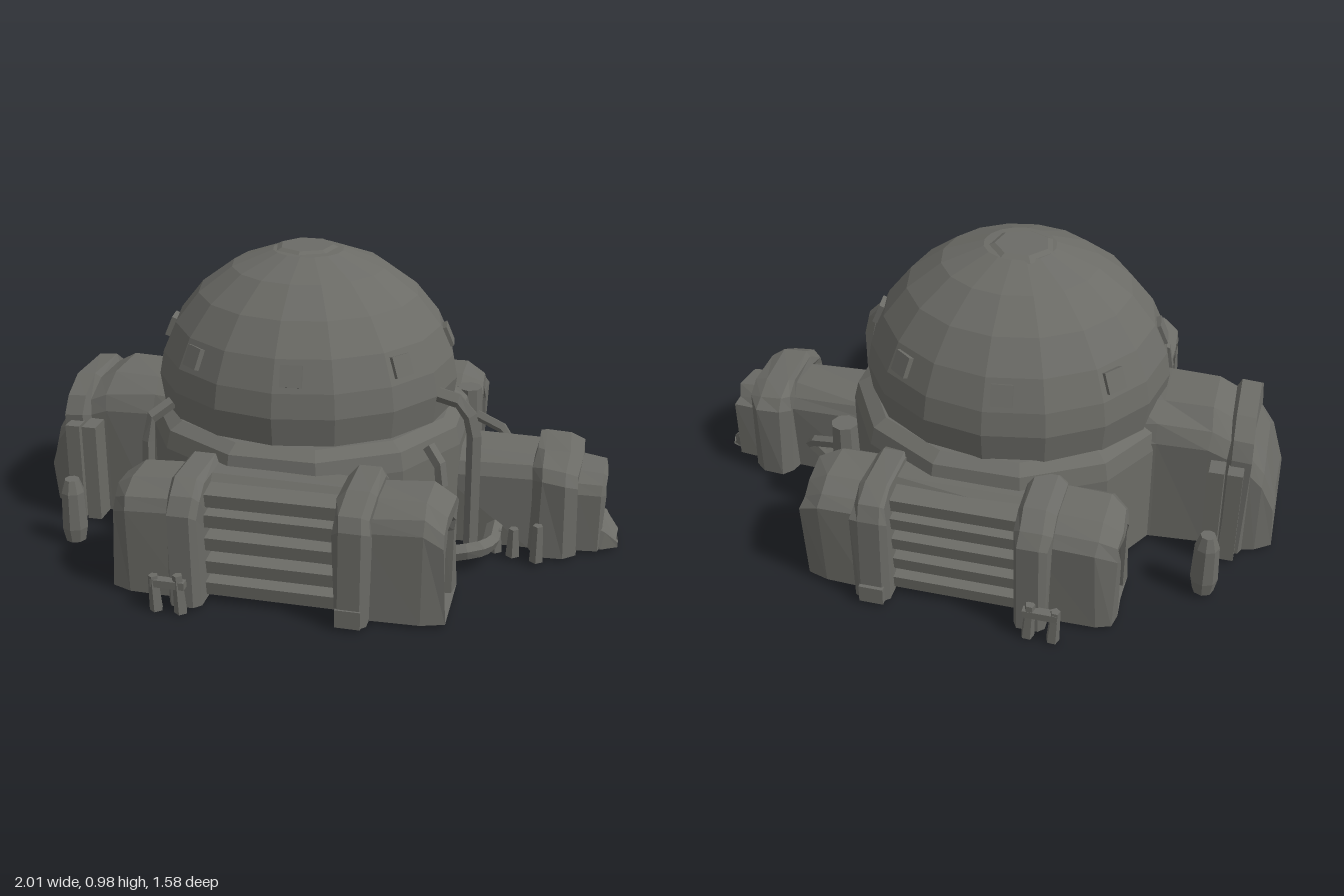
import * as THREE from 'three';

const stone = new THREE.MeshStandardMaterial({ color: 0x6b6b66 });
stone.name = 'weathered grey';
stone.flatShading = true;

// Arched cross-section (z, y), from one foot over the top to the other
const ARCH = [[-1, 0], [-1, 0.78], [-0.86, 0.9], [-0.5, 1], [0.5, 1], [0.86, 0.9], [1, 0.78], [1, 0]];

// Small repeatable wobble that roughens a surface
const wobble = (x, y, z) => 0.006 * Math.sin(x * 91 + y * 57 + z * 73);

// Loft arches along x. Each section is [x, halfWidth, height]
function arches(sections, zMid) {
  const pos = [], index = [], n = ARCH.length;
  for (const [x, w, h] of sections) {
    for (const [u, v] of ARCH) {
      const y = 0.01 + v * (h - 0.01), z = zMid + u * w, d = wobble(x, y, z);
      pos.push(x + d, v ? y + d : y, z - d);
    }
  }
  for (let i = 0; i < sections.length - 1; i++) {
    for (let j = 0; j < n; j++) {
      const a = i * n + j, b = i * n + (j + 1) % n;
      index.push(a, b, b + n, a, b + n, a + n);
    }
  }
  const e = (sections.length - 1) * n;
  for (let j = 1; j < n - 1; j++) index.push(0, j + 1, j, e, e + j, e + j + 1);
  const g = new THREE.BufferGeometry();
  g.setAttribute('position', new THREE.Float32BufferAttribute(pos, 3));
  g.setIndex(index);
  const flat = g.toNonIndexed();
  flat.computeVertexNormals();
  return flat;
}

export function createModel() {
  const model = new THREE.Group();
  model.name = 'domedBuilding';

  const add = (name, geometry, x = 0, y = 0, z = 0, parent = model) => {
    const mesh = new THREE.Mesh(geometry, stone);
    mesh.name = name;
    mesh.position.set(x, y, z);
    parent.add(mesh);
    return mesh;
  };
  const box = (name, x0, x1, y0, y1, z0, z1, parent) =>
    add(name, new THREE.BoxGeometry(x1 - x0, y1 - y0, z1 - z0),
      (x0 + x1) / 2, (y0 + y1) / 2, (z0 + z1) / 2, parent);
  const pipe = (name, points, radius) => {
    const path = new THREE.CurvePath();
    const p = points.map((q) => new THREE.Vector3(...q));
    for (let i = 0; i < p.length - 1; i++) path.add(new THREE.LineCurve3(p[i], p[i + 1]));
    return add(name, new THREE.TubeGeometry(path, (p.length - 1) * 3, radius, 5), 0, 0, 0);
  };

  // Twelve-sided drum with a sloping shoulder
  const drum = [[0, 0.01], [0.56, 0.01], [0.56, 0.37], [0.545, 0.43], [0.5, 0.455], [0, 0.455]]
    .map(([r, y]) => new THREE.Vector2(r, y));
  add('drum', new THREE.LatheGeometry(drum, 12), -0.08, 0, -0.015).rotation.y = Math.PI / 12;

  // Faceted dome with a flattened crown
  const dome = [[0.5, 0.44], [0.515, 0.55], [0.5, 0.63], [0.455, 0.73], [0.375, 0.83],
    [0.26, 0.915], [0.12, 0.968], [0, 0.972]].map(([r, y]) => new THREE.Vector2(r, y));
  add('dome', new THREE.LatheGeometry(dome, 16), -0.09, 0, -0.02).scale.z = 0.965;
  add('crown', new THREE.CylinderGeometry(0.09, 0.12, 0.014, 7), -0.1, 0.97, -0.03);

  // Small hatches around the dome
  for (let k = 0; k < 8; k++) {
    const a = (k + 0.15) * Math.PI / 4;
    const hatch = add('domeHatch', new THREE.BoxGeometry(0.07, 0.07, 0.03),
      -0.09 + Math.sin(a) * 0.47, 0.68, -0.02 + Math.cos(a) * 0.453);
    hatch.rotation.set(-0.4, a, 0, 'YXZ');
  }

  // Long front and back wings: end chambers, collars and a slatted middle
  for (const side of [1, -1]) {
    const wing = new THREE.Group();
    wing.name = side > 0 ? 'frontWing' : 'backWing';
    model.add(wing);
    const end = side > 0 ? 0.5 : 0.46, c = side > 0 ? 0.17 : 0.16, z = side * 0.555;
    add('leftChamber', arches([[c + 0.08, 0.145, 0.39], [end - 0.07, 0.145, 0.39], [end, 0.125, 0.35],
      [end, 0.075, 0.3], [end - 0.03, 0.07, 0.29]], z), 0, 0, 0, wing);
    add('rightChamber', arches([[-0.53, 0.07, 0.29], [-0.56, 0.075, 0.3], [-0.56, 0.115, 0.34],
      [-0.5, 0.145, 0.38], [-0.3, 0.145, 0.39]], z), 0, 0, 0, wing);
    for (const x of [-0.36, c]) {
      add('collar', arches([[x, 0.16, 0.4], [x + 0.02, 0.18, 0.42], [x + 0.09, 0.18, 0.42],
        [x + 0.11, 0.16, 0.4]], side * 0.575), 0, 0, 0, wing);
    }
    add('wingCore', arches([[-0.27, 0.1, 0.39], [c + 0.02, 0.1, 0.39]], side * 0.53), 0, 0, 0, wing);
    for (const [y, r] of [[0.05, 0.69], [0.12, 0.68], [0.2, 0.68], [0.28, 0.68], [0.345, 0.67]]) {
      const slat = box('slat', -0.27, c + 0.02, y - 0.02, y + 0.025, r - 0.1, r, wing);
      slat.position.z *= side;
      slat.rotation.x = side * 0.12;
    }
    // Thin stakes at the foot of the right collar
    for (const [x, h] of [[-0.39, 0.12], [-0.31, 0.13]]) {
      const stake = add('stake', new THREE.CylinderGeometry(0.016, 0.022, h, 5), x, h / 2, side * 0.77);
      stake.rotation.z = 0.06;
    }
    box('stakeRail', -0.4, -0.29, 0.085, 0.11, side * 0.77 - 0.015, side * 0.77 + 0.015);
    box('collarFoot', c + 0.01, c + 0.09, 0.01, 0.07, side * 0.74 - 0.025, side * 0.74 + 0.025);
  }

  // Low entrance passage on the left
  add('entrancePassage', arches([[0.4, 0.14, 0.34], [0.71, 0.13, 0.33], [0.71, 0.16, 0.35],
    [0.74, 0.195, 0.36], [0.82, 0.195, 0.355], [0.86, 0.16, 0.33], [0.86, 0.115, 0.285],
    [0.94, 0.105, 0.28], [0.945, 0.08, 0.25], [0.91, 0.075, 0.24]], -0.01));
  add('doorStep', arches([[0.9, 0.1, 0.13], [0.95, 0.09, 0.08], [0.995, 0.07, 0.025]], -0.01));
  for (const [x, z, h] of [[0.66, 0.19, 0.1], [0.74, 0.21, 0.13], [0.6, 0.17, 0.08]]) {
    add('passagePost', new THREE.CylinderGeometry(0.017, 0.024, h, 5), x, h / 2 + 0.01, z);
  }

  // Tall hall on the right with a sloping end
  add('rightHall', arches([[-1, 0.15, 0.2], [-0.955, 0.18, 0.34], [-0.91, 0.195, 0.41],
    [-0.905, 0.215, 0.49], [-0.84, 0.215, 0.495], [-0.83, 0.19, 0.47], [-0.77, 0.19, 0.5],
    [-0.6, 0.2, 0.505], [-0.48, 0.22, 0.5]], -0.01));
  for (const s of [1, -1]) {
    for (const x of [-0.89, -0.83]) {
      box('hallButtress', x, x + 0.05, 0.01, 0.36, s * 0.22 - 0.05, s * 0.22 + 0.04);
    }
    // Free-standing marker posts
    const post = [[0, 0.01], [0.035, 0.01], [0.045, 0.06], [0.04, 0.19], [0.025, 0.235], [0, 0.235]]
      .map(([r, y]) => new THREE.Vector2(r, y));
    add('markerPost', new THREE.LatheGeometry(post, 8), -0.81, 0, s * 0.42 - 0.01);
  }

  // Tank, mast, struts and ground pipes around the drum
  add('tank', new THREE.CylinderGeometry(0.045, 0.055, 0.38, 8), 0.43, 0.2, -0.345);
  pipe('mast', [[0.39, 0.56, 0.17], [0.47, 0.54, 0.17], [0.515, 0.47, 0.18], [0.52, 0.02, 0.2]], 0.026);
  pipe('rightStrut', [[-0.49, 0.49, 0.27], [-0.56, 0.44, 0.32], [-0.57, 0.02, 0.33]], 0.022);
  pipe('frontGroundPipe', [[0.4, 0.06, 0.35], [0.55, 0.08, 0.31], [0.59, 0.07, 0.24], [0.59, 0.08, 0.1]], 0.028);
  pipe('backGroundPipe', [[0.43, 0.3, -0.34], [0.59, 0.25, -0.29], [0.57, 0.14, -0.22], [0.59, 0.1, -0.1]], 0.02);
  pipe('drumRib', [[0.43, 0.02, 0.32], [0.43, 0.36, 0.31], [0.38, 0.42, 0.28]], 0.022);
  return model;
}
